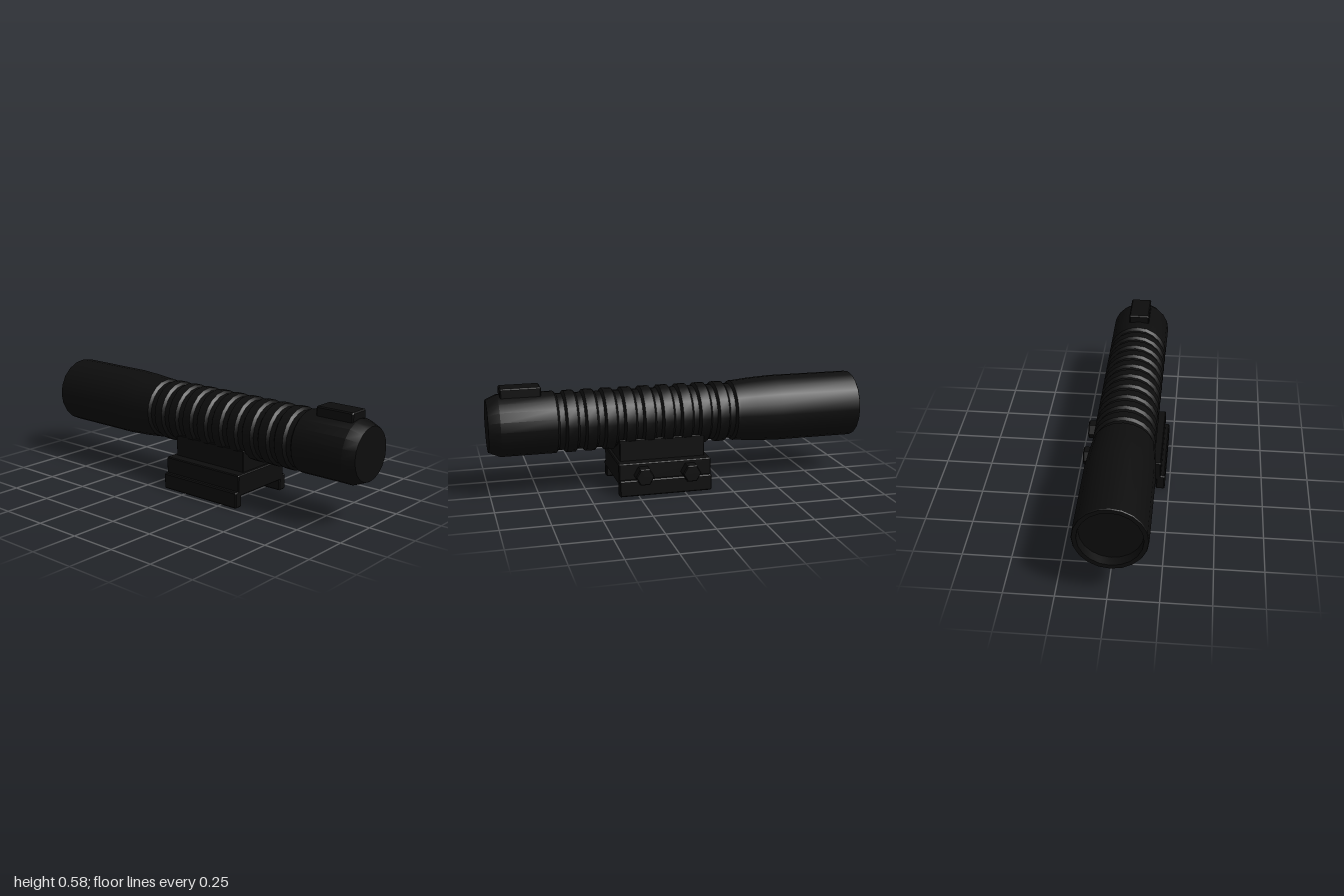
import * as THREE from 'three';
import { toCreasedNormals } from 'three/addons/utils/BufferGeometryUtils.js';

const AXIS_X = -0.018, AXIS_Y = 0.376;

export function createModel() {
  const model = new THREE.Group();
  const black = new THREE.MeshStandardMaterial({ color: 0x0d0d0d });
  black.name = 'matteBlack';

  const add = (name, geometry) => {
    const mesh = new THREE.Mesh(geometry, black);
    mesh.name = name;
    model.add(mesh);
    return mesh;
  };

  // Box with small chamfers on every edge, given by its limits
  const chamferBox = (name, [x0, x1], [y0, y1], [z0, z1], c = 0.006) => {
    const shape = new THREE.Shape();
    shape.moveTo(x0 + c, y0);
    [[x1 - c, y0], [x1, y0 + c], [x1, y1 - c], [x1 - c, y1],
      [x0 + c, y1], [x0, y1 - c], [x0, y0 + c]].forEach(([x, y]) => shape.lineTo(x, y));
    const g = new THREE.ExtrudeGeometry(shape, {
      depth: z1 - z0 - 2 * c, bevelEnabled: true, bevelSegments: 1,
      bevelSize: c, bevelThickness: c, bevelOffset: -c,
    });
    g.translate(0, 0, z0 + c);
    return add(name, g);
  };

  // Tube: recessed tail, flared rear, ribbed grip and chamfered nose
  const R = 0.163, GROOVE = 0.149;
  const profile = [
    [0, -0.95], [0.152, -0.95], [0.155, -1], [0.176, -1], [0.179, -0.995],
    [0.179, -0.55], [0.172, -0.42], [R, -0.325],
  ];
  for (let i = 0; i < 10; i++) {
    const z = -0.283 + i * 0.101;
    profile.push([R, z - 0.026], [GROOVE, z - 0.014], [GROOVE, z + 0.014], [R, z + 0.026]);
  }
  profile.push([R, 0.94], [0.137, 1], [0, 1]);
  const tube = new THREE.LatheGeometry(profile.map(([r, z]) => new THREE.Vector2(r, z)), 20);
  tube.rotateX(Math.PI / 2);
  add('tube', toCreasedNormals(tube, Math.PI / 7)).position.set(AXIS_X, AXIS_Y, 0);

  // Push button on top of the nose
  chamferBox('button', [-0.076, 0.038], [0.5, 0.576], [0.72, 0.93]);

  // Rail mount
  chamferBox('mountNeck', [-0.148, 0.111], [0.15, 0.285], [-0.127, 0.332], 0.003);
  chamferBox('mountBase', [-0.205, 0.168], [0.06, 0.172], [-0.147, 0.35], 0.005);
  chamferBox('rightRailJaw', [-0.227, -0.178], [0, 0.086], [-0.147, 0.35]);
  chamferBox('leftRailJaw', [0.14, 0.19], [0, 0.086], [-0.147, 0.35]);

  // Hexagonal clamp bolts with chamfered outer ends
  const boltProfile = [[0, 0], [0.05, 0], [0.05, 0.06], [0.044, 0.066], [0, 0.066]];
  for (const z of [-0.03, 0.222]) {
    const bolt = new THREE.LatheGeometry(boltProfile.map(([r, y]) => new THREE.Vector2(r, y)), 6);
    bolt.rotateZ(-Math.PI / 2);
    add('clampBolt', toCreasedNormals(bolt, 0.3)).position.set(0.159, 0.11, z);
  }

  return model;
}
